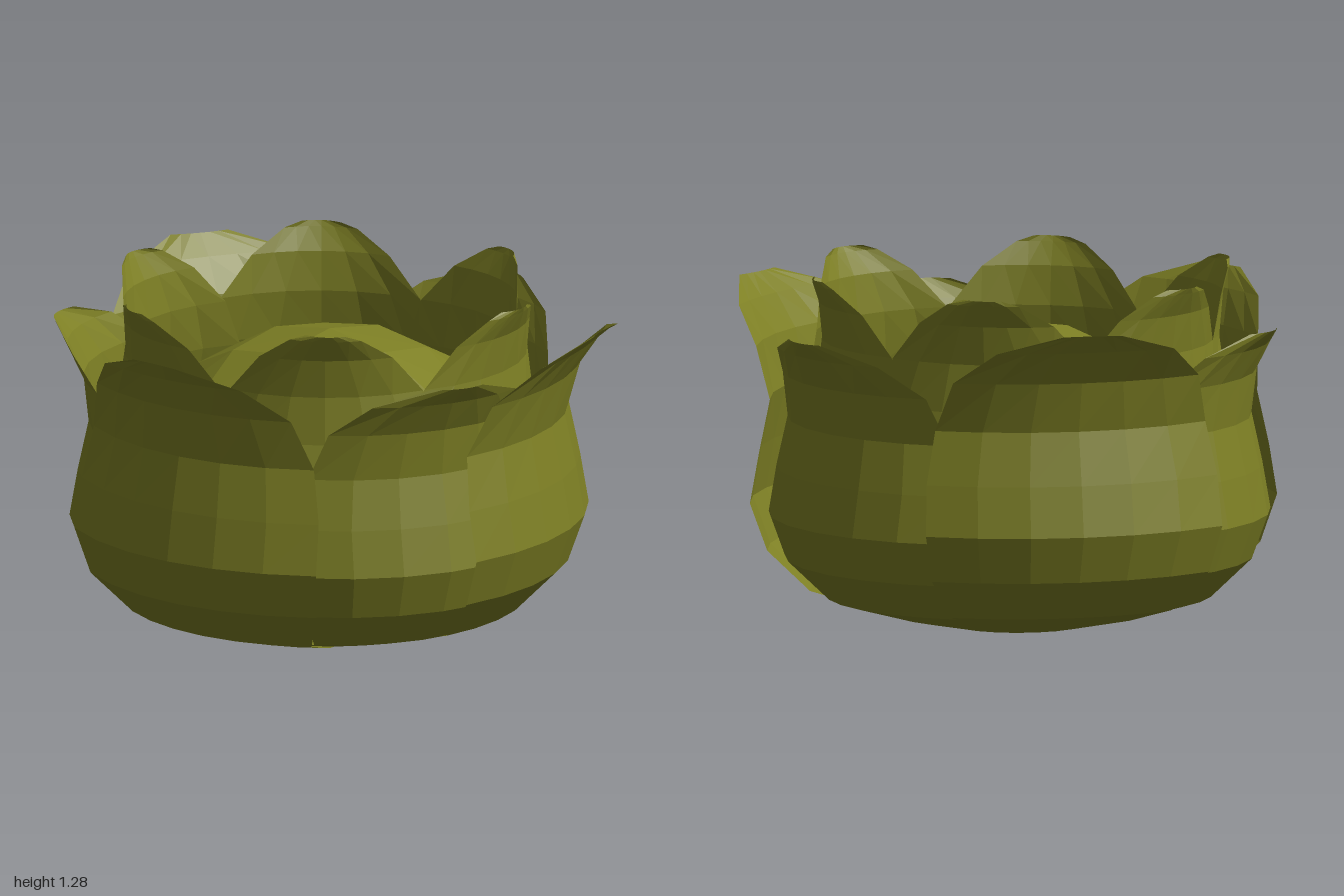
import * as THREE from 'three';

// rows from base to tip: [radius, height, half angle]
const OUTER = [
  [0.1, 0.0, 1.4], [0.25, 0.01, 0.95], [0.48, 0.06, 0.68], [0.72, 0.13, 0.58], [0.87, 0.28, 0.61], [0.93, 0.45, 0.61],
  [0.9, 0.63, 0.62], [0.86, 0.82, 0.6], [0.88, 1.0, 0.51], [0.94, 1.12, 0.33], [1.0, 1.19, 0.1],
];
const INNER = [
  [0.2, 0.03, 1.1], [0.6, 0.14, 0.62], [0.8, 0.3, 0.6], [0.85, 0.48, 0.62], [0.81, 0.68, 0.64],
  [0.75, 0.87, 0.62], [0.73, 1.04, 0.52], [0.75, 1.18, 0.34], [0.79, 1.26, 0.17], [0.8, 1.28, 0.09],
];
const COLS = 6;

// curved sheet swept through the rows, faceted; flare pushes the tip outward
function petalGeometry(rows, { scaleR = 1, scaleY = 1, twist = 0.01, edge = -0.025, flare = 0 }) {
  const pos = [], idx = [];
  for (const [r, y, half] of rows) {
    const tip = flare * Math.max(0, (y - 0.82) / 0.37);
    for (let c = 0; c <= COLS; c++) {
      const u = (c / COLS) * 2 - 1;
      const rr = (r * scaleR + tip) * (1 + edge * u * u + twist * u);
      pos.push(Math.sin(u * half) * rr, y * scaleY, Math.cos(u * half) * rr);
    }
  }
  for (let j = 0; j < rows.length - 1; j++) {
    for (let c = 0; c < COLS; c++) {
      const a = j * (COLS + 1) + c, b = a + 1, d = a + COLS + 1, e = d + 1;
      idx.push(a, b, e, a, e, d);
    }
  }
  const g = new THREE.BufferGeometry();
  g.setAttribute('position', new THREE.Float32BufferAttribute(pos, 3));
  g.setIndex(idx);
  const flat = g.toNonIndexed();
  flat.computeVertexNormals();
  return flat;
}

// cube-sphere, flattened vertically
function coreGeometry() {
  const g = new THREE.BoxGeometry(2, 2, 2, 4, 4, 4);
  const p = g.attributes.position, v = new THREE.Vector3();
  const bend = (t) => Math.tan((t * Math.PI) / 4);
  for (let i = 0; i < p.count; i++) {
    v.set(bend(p.getX(i)), bend(p.getY(i)), bend(p.getZ(i))).normalize();
    p.setXYZ(i, v.x * 0.68, 0.555 + v.y * 0.54, v.z * 0.68 - 0.035);
  }
  const flat = g.toNonIndexed();
  flat.computeVertexNormals();
  return flat;
}

export function createModel() {
  const model = new THREE.Group();
  model.name = 'flowerBud';
  const olive = new THREE.MeshStandardMaterial({ color: 0x7d7f24, flatShading: true, side: THREE.DoubleSide });
  olive.name = 'olive green';

  const core = new THREE.Mesh(coreGeometry(), olive);
  core.name = 'core';
  model.add(core);

  // layers of petals: name, rows, shape, angles in degrees from the front
  const layers = [
    ['innerPetal', INNER, { scaleR: 0.97, twist: 0.015 }, [42, 162, 282]],
    ['innerPetal', INNER, { twist: 0.015 }, [102, 222, 342]],
    ['middlePetal', OUTER, { scaleR: 0.965, scaleY: 0.93, twist: 0.015 }, [72, 300]],
    ['middlePetal', OUTER, { scaleR: 0.985, scaleY: 0.93, flare: 0.015 }, [180]],
    ['outerPetal', OUTER, { edge: 0.01 }, [5]],
    ['outerPetal', OUTER, { edge: 0.015, flare: 0.05 }, [112, 246]],
  ];
  for (const [name, rows, shape, angles] of layers) {
    const geometry = petalGeometry(rows, shape);
    for (const deg of angles) {
      const petal = new THREE.Mesh(geometry, olive);
      petal.name = name;
      petal.rotation.y = THREE.MathUtils.degToRad(deg);
      model.add(petal);
    }
  }
  return model;
}
